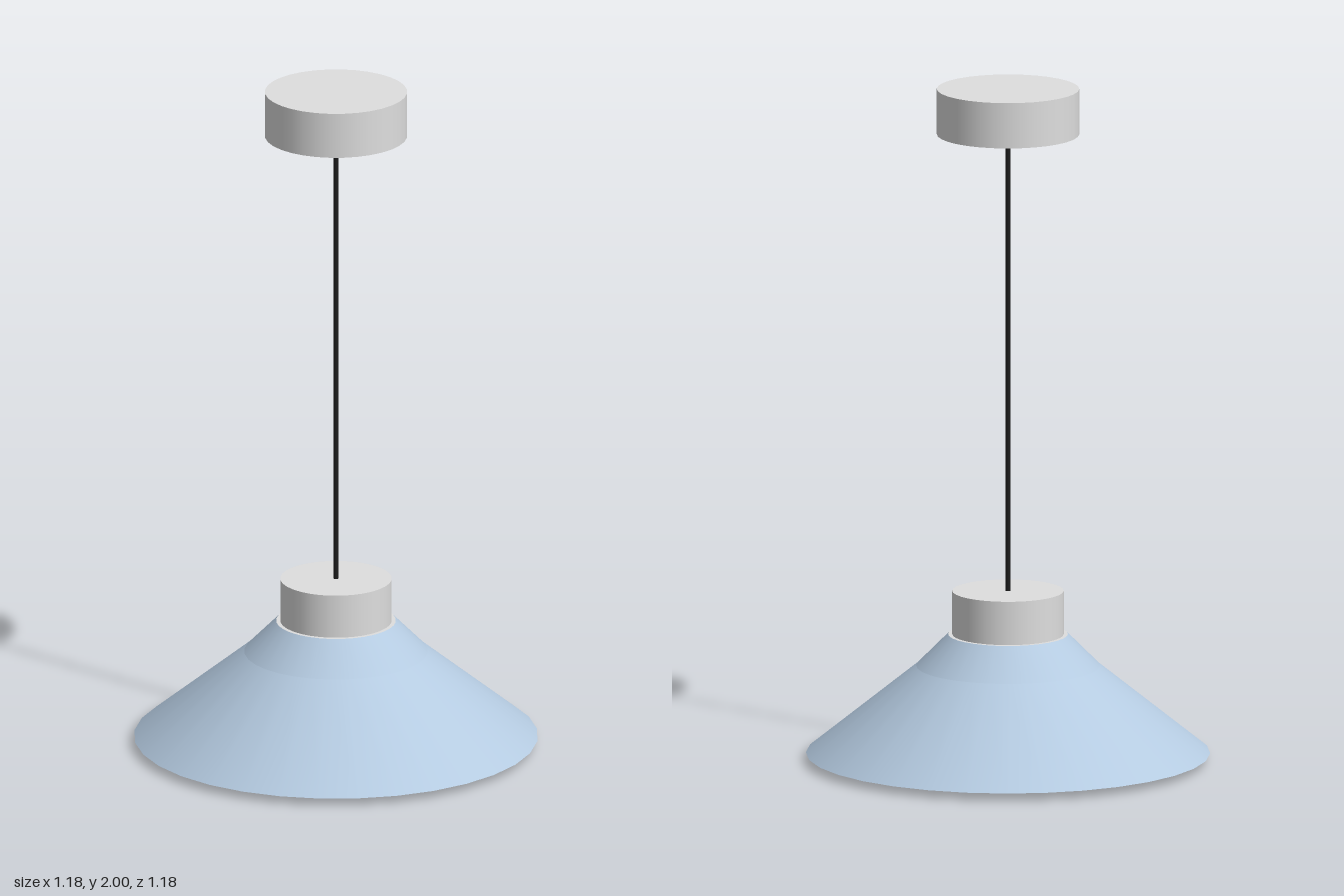
import * as THREE from 'three';

export function createModel() {
  const lamp = new THREE.Group();
  lamp.name = 'pendantLamp';

  const paleGrey = new THREE.MeshStandardMaterial({ color: 0xdedede });
  paleGrey.name = 'paleGrey';
  const paleBlue = new THREE.MeshStandardMaterial({ color: 0xb4cae0 });
  paleBlue.name = 'paleBlue';
  const black = new THREE.MeshStandardMaterial({ color: 0x1c1c1c });
  black.name = 'black';

  const SIDES = 32;

  function add(name, geometry, material, y = 0) {
    const mesh = new THREE.Mesh(geometry, material);
    mesh.name = name;
    mesh.position.y = y;
    lamp.add(mesh);
  }

  // Upright cylinder between two heights
  function cylinder(name, radius, y0, y1, material, sides = SIDES) {
    add(name, new THREE.CylinderGeometry(radius, radius, y1 - y0, sides), material, (y0 + y1) / 2);
  }

  // One turned band between two [radius, height] points; it faces right of the direction of travel
  function band(name, from, to, material) {
    const points = [from, to].map(([r, y]) => new THREE.Vector2(r, y));
    add(name, new THREE.LatheGeometry(points, SIDES), material);
  }

  // Ceiling canopy, cord and socket cap
  cylinder('ceilingCanopy', 0.208, 1.865, 2, paleGrey);
  cylinder('cord', 0.008, 0.5, 1.87, black, 12);
  cylinder('socketCap', 0.163, 0.375, 0.505, paleGrey);

  // Thick two-slope shade, open underneath, with pale cut edges
  const outer = [[0.59, 0.022], [0.268, 0.282], [0.175, 0.376]];
  const inner = [[0.545, 0.022], [0.245, 0.265], [0.138, 0.376]];
  band('shadeOuterLower', outer[0], outer[1], paleBlue);
  band('shadeOuterUpper', outer[1], outer[2], paleBlue);
  band('shadeInnerUpper', inner[2], inner[1], paleBlue);
  band('shadeInnerLower', inner[1], inner[0], paleBlue);
  band('shadeBottomRim', inner[0], outer[0], paleGrey);
  band('shadeTopRim', outer[2], inner[2], paleGrey);

  // Bulb and its neck
  cylinder('bulbNeck', 0.06, 0.28, 0.38, paleGrey, 24);
  add('bulb', new THREE.SphereGeometry(0.165, SIDES, 16), paleGrey, 0.17);

  // Rest the bulb on the ground plane
  lamp.getObjectByName('bulb').position.y = 0.165;

  return lamp;
}
